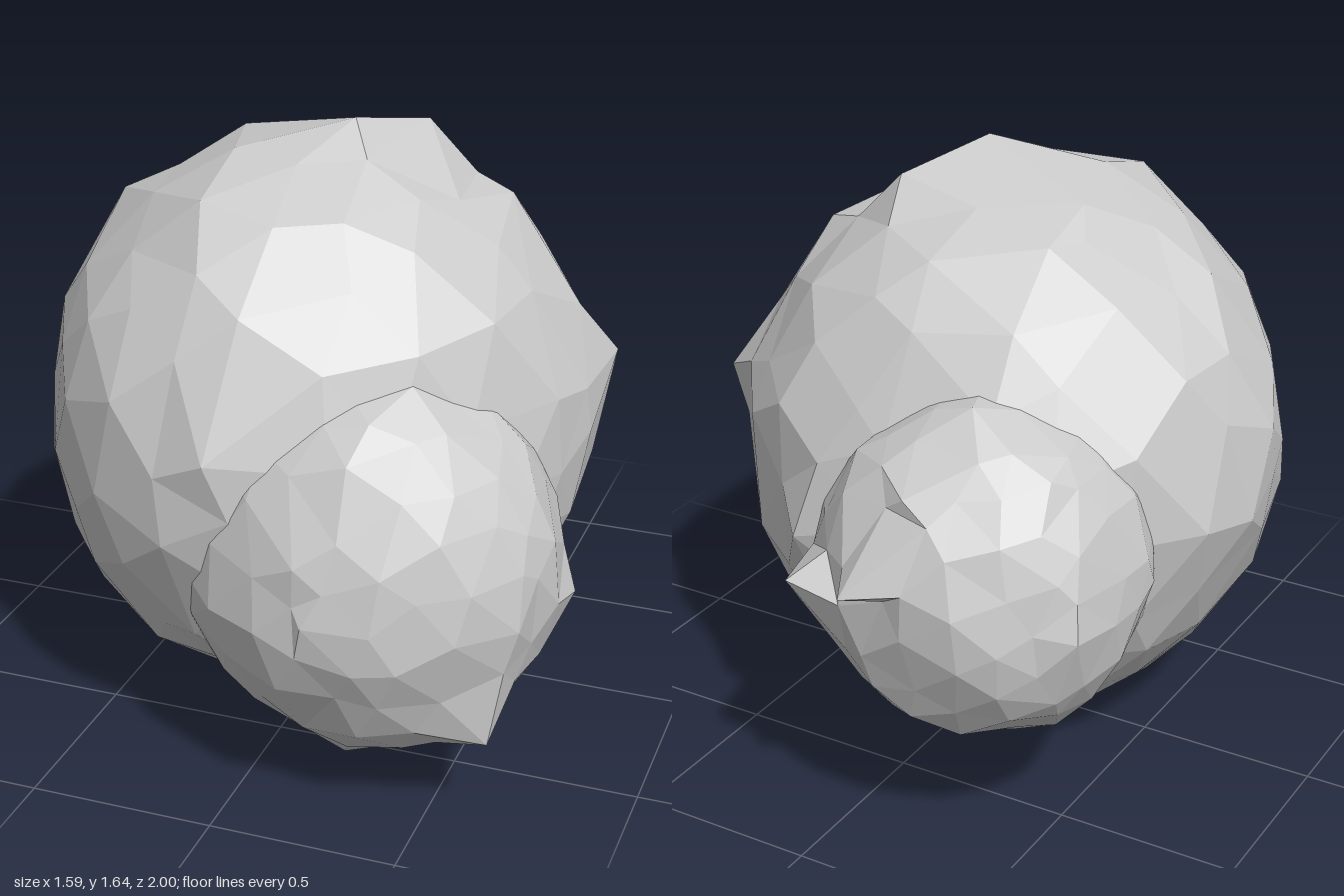
import * as THREE from 'three';
import { mergeVertices } from 'three/addons/utils/BufferGeometryUtils.js';

// Small seeded generator, -1..1
function seeded(seed) {
  let s = seed;
  return () => {
    s = (s * 16807) % 2147483647;
    return (s / 2147483647) * 2 - 1;
  };
}

// Faceted boulder: a jittered ellipsoid with broad swells (x, y, z, amount; negative flattens)
// and single vertices pulled out to the given knobs
function boulder(name, center, radii, seed, rough, swells, knobs) {
  const rnd = seeded(seed);
  let geo = new THREE.IcosahedronGeometry(1, 3);
  geo.deleteAttribute('normal');
  geo.deleteAttribute('uv');
  geo = mergeVertices(geo, 1e-4);
  geo.rotateX(seed * 0.37).rotateZ(seed * 0.53);

  const pos = geo.attributes.position;
  const c = new THREE.Vector3(...center);
  const r = new THREE.Vector3(...radii);
  const v = new THREE.Vector3();
  const dir = new THREE.Vector3();
  for (let i = 0; i < pos.count; i++) {
    v.fromBufferAttribute(pos, i);
    let n = 1 + rough * rnd();
    v.x += 0.07 * rnd();
    v.y += 0.07 * rnd();
    v.z += 0.07 * rnd();
    v.normalize();
    for (const [x, y, z, amount] of swells) {
      dir.set(x, y, z).sub(c).divide(r).normalize();
      n += amount * Math.exp(-v.distanceToSquared(dir) / 0.25);
    }
    v.multiplyScalar(n).multiply(r).add(c);
    pos.setXYZ(i, v.x, Math.max(v.y, 0), v.z);
  }

  for (const k of knobs) {
    const target = new THREE.Vector3(...k);
    let best = 0, bestDist = Infinity;
    for (let i = 0; i < pos.count; i++) {
      const d = v.fromBufferAttribute(pos, i).distanceTo(target);
      if (d < bestDist) { bestDist = d; best = i; }
    }
    pos.setXYZ(best, ...k);
  }

  const flat = geo.toNonIndexed();
  flat.computeVertexNormals();
  const mesh = new THREE.Mesh(flat, new THREE.MeshStandardMaterial({ color: 0xcccccc, flatShading: true }));
  mesh.name = name;
  return mesh;
}

export function createModel() {
  const group = new THREE.Group();
  group.name = 'boulderCluster';

  // Large central rock
  group.add(boulder('mainRock', [-0.03, 0.8, 0.09], [0.755, 0.785, 0.775], 3, 0.022, [
    [-0.5, 0.75, 0.7, -0.02], [-0.6, 0.95, -0.45, 0.07], [-0.1, 1.2, 0.75, 0.05],
    [0, 1.4, -0.4, 0.04], [0.35, 0.9, 0.75, -0.06], [0.55, 0.7, -0.4, 0.03],
  ], [
    [0.08, 1.64, 0.12], [0.2, 1.58, -0.14], [-0.2, 1.5, 0.5], [-0.6, 1.37, 0.1],
    [-0.8, 0.97, 0.1], [0.73, 0.95, -0.22], [0.45, 1.41, -0.1],
    [0, 0, 0.04], [-0.1, 0, 0.06], [-0.45, 0.13, 0.1], [0.2, 0.75, -0.7], [-0.05, 0.95, 0.88],
  ]));

  // Front lobe, low on the left
  group.add(boulder('frontRock', [0.31, 0.6, 0.54], [0.46, 0.505, 0.44], 7, 0.025, [
    [0.2, 0.95, 0.88, 0.06], [0.4, 0.15, 0.2, 0.08], [0.1, 0.6, 0.95, 0.03],
    [-0.15, 0.5, 0.7, 0.16], [0.65, 0.6, 0.2, 0.05],
  ], [
    [0.15, 0.04, 0.43], [0.25, 0.08, 0.67], [0.66, 0.24, 0.76], [0.79, 0.53, 0.42],
    [0.25, 0.62, 1], [0.4, 1.12, 0.6],
  ]));

  // Back lobe, on the right
  group.add(boulder('backRock', [-0.28, 0.73, -0.53], [0.425, 0.46, 0.415], 11, 0.03, [
    [0.05, 0.7, -0.75, 0.06], [-0.6, 0.75, -0.3, 0.06],
  ], [
    [-0.14, 0.8, -1], [0.07, 0.76, -0.92], [-0.67, 0.7, -0.75], [-0.3, 1.2, -0.62],
  ]));

  return group;
}
